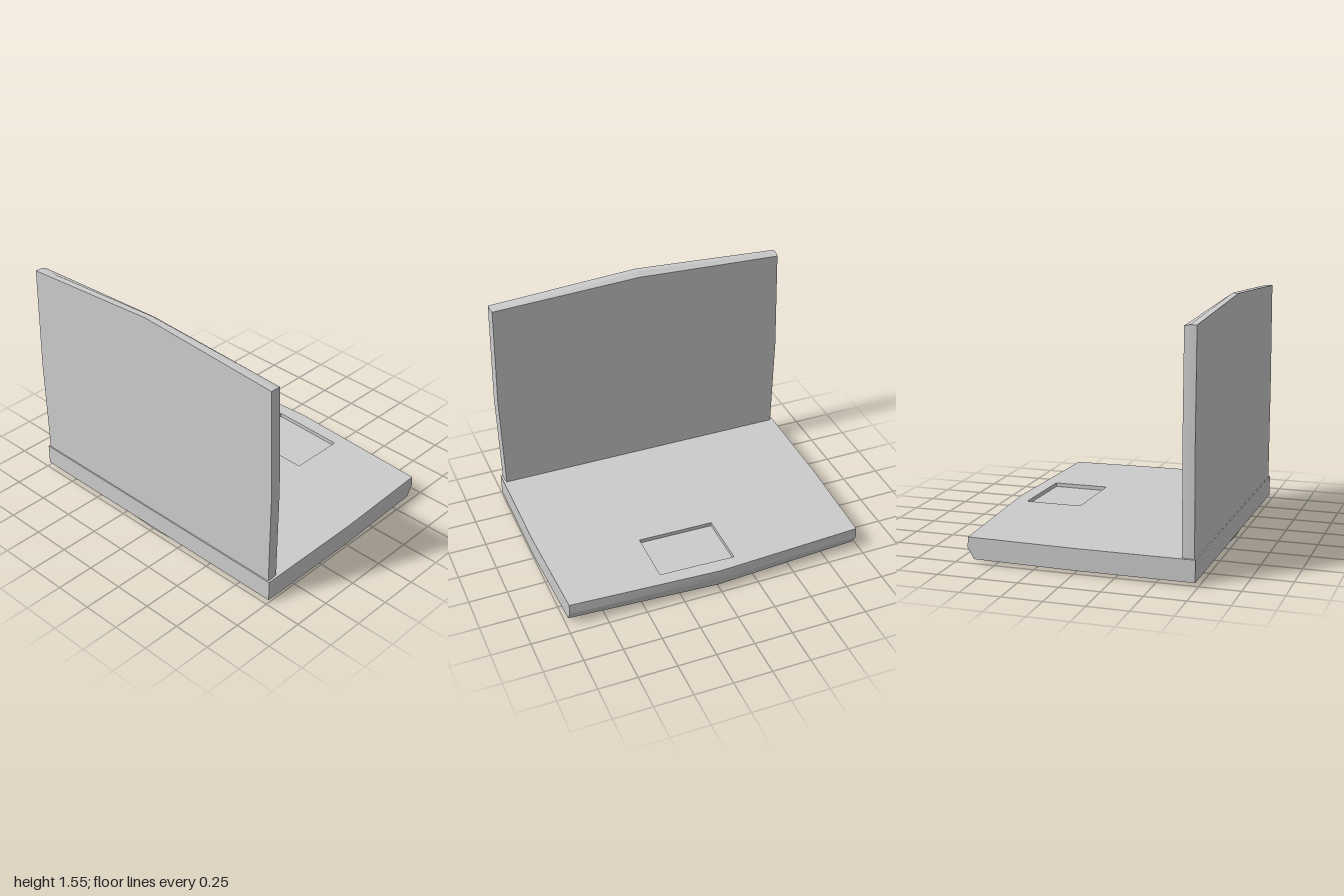
import * as THREE from 'three';
import { mergeGeometries, toCreasedNormals } from 'three/addons/utils/BufferGeometryUtils.js';

const material = new THREE.MeshStandardMaterial({ color: 0xcccccc });
const toVectors = (pts) => pts.map(([u, v]) => new THREE.Vector2(u, v));

// Walls between successive outlines [height, points], counter-clockwise seen from above
function walls(levels) {
  const pos = [];
  for (let l = 0; l < levels.length - 1; l++) {
    const [h0, lower] = levels[l];
    const [h1, upper] = levels[l + 1];
    lower.forEach((p, i) => {
      const j = (i + 1) % lower.length;
      const a = [...p, h0], b = [...lower[j], h0];
      const c = [...upper[j], h1], d = [...upper[i], h1];
      pos.push(...a, ...b, ...c, ...a, ...c, ...d);
    });
  }
  const geometry = new THREE.BufferGeometry();
  geometry.setAttribute('position', new THREE.Float32BufferAttribute(pos, 3));
  return geometry;
}

// Flat cap at one height, optionally with a hole or facing downwards
function cap([height, pts], { hole, down = false } = {}) {
  const shape = new THREE.Shape(toVectors(pts));
  if (hole) shape.holes.push(new THREE.Path(toVectors(hole)));
  const geometry = new THREE.ShapeGeometry(shape);
  if (down) geometry.index.array.reverse();
  const flat = geometry.toNonIndexed().translate(0, 0, height);
  flat.deleteAttribute('uv');
  flat.deleteAttribute('normal');
  return flat;
}

function makeMesh(name, parts) {
  const geometry = toCreasedNormals(mergeGeometries(parts), 0.4);
  const mesh = new THREE.Mesh(geometry, material);
  mesh.name = name;
  return mesh;
}

// Keyboard base: bowed front edge, undercut below, sunken touchpad
function makeBase() {
  const outline = (corner, middle) => [
    [-0.73, -1], [0, -1], [corner, -0.977], [middle, 0],
    [corner, 0.977], [0, 1], [-0.73, 1],
  ];
  const levels = [
    [0.02, outline(0.64, 0.7)],
    [0.09, outline(0.68, 0.727)],
    [0.155, outline(0.676, 0.727)],
  ];
  const pad = [[0.26, -0.365], [0.62, -0.365], [0.635, 0.13], [0.27, 0.13]];
  const padInward = [...pad].reverse();
  const floor = 0.13;

  const base = new THREE.Group();
  base.name = 'base';
  base.add(
    makeMesh('baseBody', [
      walls(levels),
      cap(levels[0], { down: true }),
      cap(levels[2], { hole: pad }),
    ]),
    makeMesh('touchpad', [
      walls([[floor, padInward], [0.155, padInward]]),
      cap([floor, pad]),
    ]),
  );
  base.rotation.x = -Math.PI / 2;
  return base;
}

// Upright screen lid: peaked top and bottom, bevelled towards the keyboard
function makeLid() {
  const outline = (side, end, peak) => [
    [-0.985 + side, 0.06 + end], [0, peak], [0.985 - side, 0.06 + end], [1 - side, 0.8],
    [0.985 - side, 1.49 - end], [0, 1.55 - peak], [-0.985 + side, 1.49 - end], [-1 + side, 0.8],
  ];
  const levels = [
    [-0.722, outline(0, 0, 0)],
    [-0.682, outline(0, 0, 0)],
    [-0.647, outline(0.006, 0.008, 0.025)],
  ];
  const lid = makeMesh('screenLid', [
    walls(levels),
    cap(levels[0], { down: true }),
    cap(levels[2]),
  ]);
  lid.rotation.y = Math.PI / 2;
  return lid;
}

export function createModel() {
  const model = new THREE.Group();
  model.name = 'laptop';
  model.add(makeBase(), makeLid());
  return model;
}
